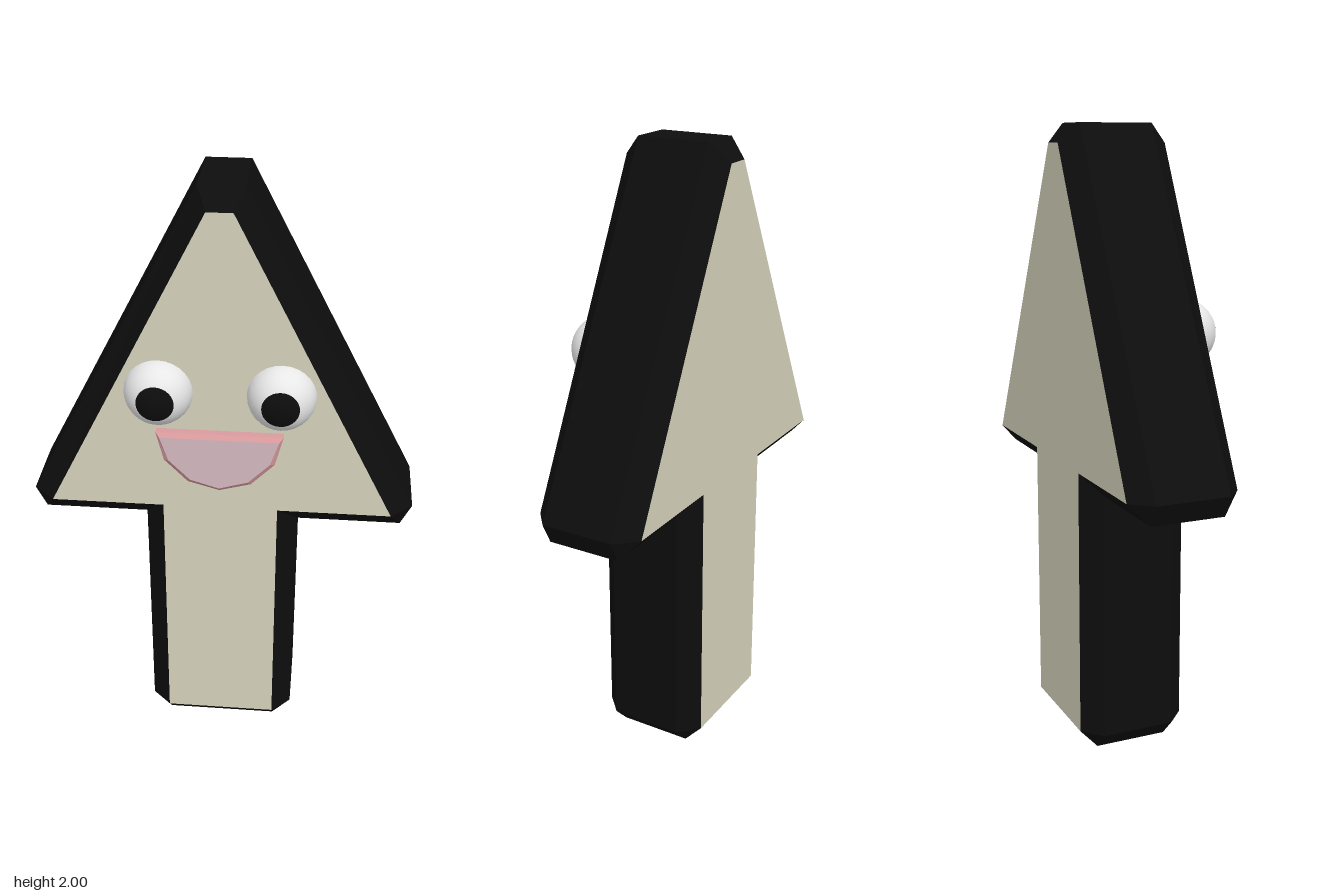
import * as THREE from 'three';

const mat = (name, color, side = THREE.FrontSide) => {
  const m = new THREE.MeshStandardMaterial({ color, side });
  m.name = name;
  return m;
};

// Mirror the right half of an outline, given clockwise from the top
const mirrored = (half) => [
  ...half,
  ...half.filter((p) => p[0] > 0).reverse().map(([x, y]) => [-x, y]),
];

// Bevelled slab: a rim lofted through face, outer, outer, face outlines, plus two flat faces
function slab(name, faceHalf, outerHalf, [z0, z1, z2, z3], rimMat, faceMat) {
  const group = new THREE.Group();
  group.name = name;
  const face = mirrored(faceHalf), outer = mirrored(outerHalf);
  const rings = [[face, z0], [outer, z1], [outer, z2], [face, z3]]
    .map(([pts, z]) => pts.map(([x, y]) => new THREE.Vector3(x, y, z)));
  const verts = [];
  const tri = (a, b, c) => {
    if (a.equals(b) || b.equals(c) || a.equals(c)) return;
    [a, b, c].forEach((v) => verts.push(v.x, v.y, v.z));
  };
  for (let r = 0; r < 3; r++) {
    for (let i = 0; i < face.length; i++) {
      const j = (i + 1) % face.length;
      tri(rings[r][i], rings[r][j], rings[r + 1][j]);
      tri(rings[r][i], rings[r + 1][j], rings[r + 1][i]);
    }
  }
  const geo = new THREE.BufferGeometry();
  geo.setAttribute('position', new THREE.Float32BufferAttribute(verts, 3));
  geo.computeVertexNormals();
  const rim = new THREE.Mesh(geo, rimMat);
  rim.name = name + 'Rim';
  group.add(rim);

  // Drop repeated corners before filling the faces
  const corners = face.filter((p, i) => {
    const q = face[(i + 1) % face.length];
    return p[0] !== q[0] || p[1] !== q[1];
  });
  const faceGeo = new THREE.ShapeGeometry(
    new THREE.Shape(corners.map(([x, y]) => new THREE.Vector2(x, y))));
  const front = new THREE.Mesh(faceGeo, faceMat);
  front.name = name + 'Front';
  front.position.z = z0;
  const back = new THREE.Mesh(faceGeo, faceMat);
  back.name = name + 'Back';
  back.position.z = z3;
  back.rotation.y = Math.PI;
  group.add(front, back);
  return group;
}

export function createModel() {
  const black = mat('black', 0x0d0d0d);
  const cream = mat('cream', 0xd6d3bc);
  const white = mat('white', 0xececec);
  const pink = mat('pink', 0xd99a9e);
  const palePink = mat('palePink', 0xd6bac0);

  const model = new THREE.Group();
  model.name = 'arrow';

  // Arrow body: chamfered corners share one point on the face outline
  model.add(slab('body',
    [[0.04, 1.94], [0.55, 0.94], [0.55, 0.94], [0.185, 0.94], [0.185, 0.065], [0.185, 0.065]],
    [[0.07, 2], [0.62, 0.945], [0.585, 0.875], [0.248, 0.875], [0.248, 0.065], [0.185, 0]],
    [0.13, 0.07, -0.17, -0.23], black, cream));

  // Open mouth
  model.add(slab('mouth',
    [[0.187, 1.216], [0.16, 1.135], [0.092, 1.066], [0, 1.038]],
    [[0.2, 1.23], [0.175, 1.13], [0.1, 1.053], [0, 1.025]],
    [0.166, 0.155, 0.12, 0.11], pink, palePink));

  // Eyes: the pupil is the front cap of each ball
  const radius = 0.108, pupilAngle = 0.57;
  for (const side of [-1, 1]) {
    const eye = new THREE.Group();
    eye.name = side > 0 ? 'leftEye' : 'rightEye';
    const ball = new THREE.Mesh(
      new THREE.SphereGeometry(radius, 28, 16, 0, Math.PI * 2, pupilAngle, Math.PI - pupilAngle), white);
    ball.name = 'eyeball';
    const pupil = new THREE.Mesh(
      new THREE.SphereGeometry(radius, 28, 5, 0, Math.PI * 2, 0, pupilAngle), black);
    pupil.name = 'pupil';
    eye.add(ball, pupil);
    eye.rotation.x = Math.PI / 2;
    eye.position.set(side * 0.19, 1.36, 0.12);
    model.add(eye);
  }
  return model;
}
